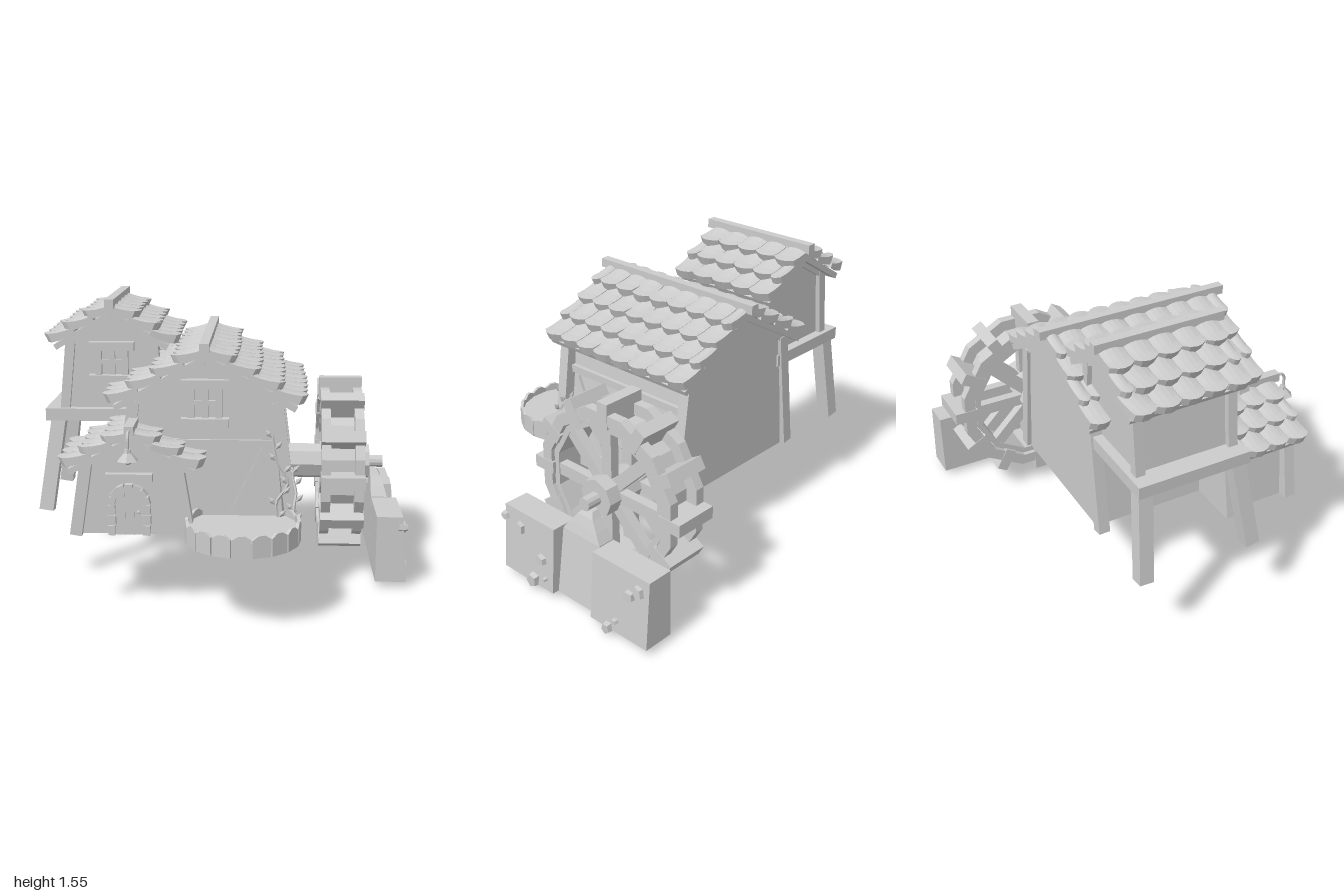
import * as THREE from 'three';

const mat = new THREE.MeshStandardMaterial({ color: 0xcccccc, flatShading: true });
const shellMat = new THREE.MeshStandardMaterial({ color: 0xcccccc, flatShading: true, side: THREE.DoubleSide });
const V = (x, y, z) => new THREE.Vector3(x, y, z);

function add(parent, name, geo, x = 0, y = 0, z = 0, material = mat) {
  const m = new THREE.Mesh(geo, material);
  m.name = name;
  m.position.set(x, y, z);
  parent.add(m);
  return m;
}
function box(parent, name, x0, x1, y0, y1, z0, z1) {
  return add(parent, name, new THREE.BoxGeometry(x1 - x0, y1 - y0, z1 - z0),
    (x0 + x1) / 2, (y0 + y1) / 2, (z0 + z1) / 2);
}
// Square timber between two points
function beam(parent, name, a, b, w, h = w) {
  const len = a.distanceTo(b), m = add(parent, name, new THREE.BoxGeometry(w, h, len));
  if (Math.abs(b.y - a.y) > 0.8 * len) m.up.set(0, 0, 1);
  m.position.copy(a).add(b).multiplyScalar(0.5);
  m.lookAt(b);
  return m;
}
function extrude(points, depth, holes = []) {
  const s = new THREE.Shape(points.map(p => new THREE.Vector2(p[0], p[1])));
  for (const h of holes) s.holes.push(new THREE.Path(h.map(p => new THREE.Vector2(p[0], p[1]))));
  return new THREE.ExtrudeGeometry(s, { depth, bevelEnabled: false });
}
function indexed(pos, idx) {
  const g = new THREE.BufferGeometry();
  g.setAttribute('position', new THREE.Float32BufferAttribute(pos, 3));
  g.setIndex(idx);
  g.computeVertexNormals();
  return g;
}

// Curved roof tile: rounded, thicker, upturned lower end, arched across its width
function tileGeometry(len, width) {
  const g = new THREE.BoxGeometry(len, 0.028, width, 3, 1, 4), p = g.attributes.position;
  for (let i = 0; i < p.count; i++) {
    const u = p.getX(i) / len + 0.5, w = p.getZ(i) / width * 2, y = p.getY(i);
    p.setX(i, p.getX(i) - u * w * w * 0.028);
    p.setY(i, y + 0.028 * u * u - 0.012 * w * w - (y < 0 ? 0.022 * u : 0));
  }
  return g;
}
// Gabled roof with staggered tiles, deck boards and ridge beam
function roof(parent, name, cx, ridgeY, run, drop, z0, z1, rows, cols, ridge) {
  const g = new THREE.Group();
  g.name = name;
  parent.add(g);
  const L = Math.hypot(run, drop), A = Math.atan2(drop, run), pitch = L / rows, depth = z1 - z0;
  const step = depth / cols, geo = tileGeometry(pitch + 0.04, step * 0.98);
  for (const s of [1, -1]) {
    const side = new THREE.Group();
    side.name = 'roofSlope';
    side.position.set(cx, ridgeY, (z0 + z1) / 2);
    if (s < 0) side.rotation.y = Math.PI;
    g.add(side);
    const deck = add(side, 'roofDeck', new THREE.BoxGeometry(L - 0.01, 0.03, depth - 0.02), run / 2 - 0.01, -drop / 2 - 0.012, 0);
    deck.rotation.z = -A;
    for (let r = 0; r < rows; r++) {
      const odd = (rows - 1 - r) % 2;
      for (let c = 0; c < cols + odd; c++) {
        const jitter = Math.sin(r * 12.9 + c * 7.3 + s * 3.1);
        const half = odd && (c === 0 || c === cols);
        const z = odd ? THREE.MathUtils.clamp(c * step, step / 4, depth - step / 4) : (c + 0.5) * step;
        const d = (r + 0.5) * pitch + jitter * 0.006, n = 0.03 + odd * 0.002;
        const t = add(side, 'roofTile', geo, d * Math.cos(A) + n * Math.sin(A),
          -d * Math.sin(A) + n * Math.cos(A), z - depth / 2);
        t.rotation.z = -A + 0.1 + jitter * 0.03;
        t.rotation.y = jitter > 0.9 ? 0.15 : 0;
        if (half) t.scale.z = 0.5;
      }
    }
  }
  box(g, 'ridgeBeam', cx - 0.024, cx + 0.024, ridge[0], ridge[0] + 0.047, ridge[1], ridge[2]);
}
// Gabled shell, wider at the foot and open underneath
function walls(parent, name, cx, halfTop, halfBottom, y0, yEave, yPeak, z0, z1) {
  const profile = [[-halfBottom, y0], [-halfTop, yEave], [0, yPeak], [halfTop, yEave], [halfBottom, y0]];
  const pos = [], idx = [];
  for (const z of [z0, z1]) for (const [x, y] of profile) pos.push(cx + x, y, z);
  for (let i = 0; i < 4; i++) {
    idx.push(i, i + 5, i + 1, i + 1, i + 5, i + 6);
    if (i) idx.push(0, i, i + 1, 5, i + 6, i + 5);
  }
  add(parent, name, indexed(pos, idx), 0, 0, 0, shellMat);
}
function windowFrame(parent, cx, cy, z, h) {
  const g = new THREE.Group();
  g.name = 'window';
  parent.add(g);
  box(g, 'lintel', cx - 0.12, cx + 0.12, cy + h, cy + h + 0.045, z, z + 0.045);
  box(g, 'sill', cx - 0.12, cx + 0.12, cy - h - 0.045, cy - h, z, z + 0.055);
  for (const x of [-0.07, 0, 0.07])
    box(g, 'upright', cx + x - 0.016, cx + x + 0.016, cy - h, cy + h, z, z + (x ? 0.03 : 0.02));
  box(g, 'crossbar', cx - 0.07, cx + 0.07, cy - 0.012, cy + 0.012, z, z + 0.018);
}

function buildHouse(root) {
  const g = new THREE.Group();
  g.name = 'mainHouse';
  root.add(g);
  const cx = -0.09;
  walls(g, 'mainWalls', cx, 0.34, 0.4, 0.41, 1.08, 1.28, -0.49, 0.38);
  roof(g, 'mainRoof', cx, 1.31, 0.47, 0.265, -0.55, 0.42, 4, 8, [1.325, -0.585, 0.46]);
  for (const s of [1, -1]) {
    for (const z of [0.37, -0.48]) {
      beam(g, 'cornerPost', V(cx + s * 0.445, 0.41, z), V(cx + s * 0.36, 1.07, z), 0.06);
      beam(g, 'gableRafter', V(cx, 1.26, z), V(cx + s * 0.37, 1.055, z), 0.05, 0.04);
    }
    // Front and side braces
    beam(g, 'frontBrace', V(cx + s * 0.14, 0.48, 0.38), V(cx + s * 0.31, 0.85, 0.38), 0.035, 0.03);
    beam(g, 'sideBrace', V(0.31, 0.42, 0.06 + s * 0.03), V(0.275, 0.83, 0.06 + s * 0.25), 0.03, 0.035);
    beam(g, 'sideRail', V(cx + s * 0.36, 0.87, 0.37), V(cx + s * 0.36, 0.87, -0.48), 0.04);
  }
  beam(g, 'frontRail', V(-0.46, 0.86, 0.38), V(0.28, 0.86, 0.38), 0.03, 0.03);
  windowFrame(g, cx, 1.065, 0.38, 0.075);
}

function buildTower(root) {
  const g = new THREE.Group();
  g.name = 'stiltRoom';
  root.add(g);
  const cx = -0.6;
  walls(g, 'stiltRoomWalls', cx, 0.215, 0.25, 0.95, 1.33, 1.45, -0.45, 0.05);
  roof(g, 'stiltRoomRoof', cx, 1.485, 0.31, 0.185, -0.525, 0.1, 3, 5, [1.5, -0.545, 0.135]);
  box(g, 'platform', -0.955, -0.42, 0.9, 0.965, -0.5, 0.1);
  for (const z of [0.05, -0.45]) {
    const out = z > 0 ? 0.07 : -0.03;
    beam(g, 'stilt', V(-0.962, 0.415, z + out), V(-0.89, 0.91, z), 0.075);
    for (const s of [1, -1]) {
      beam(g, 'roomPost', V(cx + s * 0.255, 0.96, z), V(cx + s * 0.215, 1.34, z), 0.05);
      beam(g, 'roomRafter', V(cx, 1.44, z), V(cx + s * 0.23, 1.305, z), 0.045, 0.035);
    }
  }
  windowFrame(g, cx, 1.21, 0.05, 0.065);
}

function buildPorch(root) {
  const g = new THREE.Group();
  g.name = 'porch';
  root.add(g);
  const cx = -0.45, z = 0.5;
  walls(g, 'porchWalls', cx, 0.22, 0.26, 0.41, 0.78, 0.89, 0.12, z);
  roof(g, 'porchRoof', cx, 0.925, 0.32, 0.17, 0.1, 0.57, 3, 4, [0.94, 0.1, 0.6]);
  for (const s of [1, -1]) {
    for (const pz of [0.51, 0.15])
      beam(g, 'porchPost', V(cx + s * 0.285, 0.41, pz), V(cx + s * 0.225, 0.79, pz), 0.06);
    beam(g, 'porchRafter', V(cx, 0.89, z), V(cx + s * 0.26, 0.75, z), 0.045, 0.035);
  }
  // Arched door with stone surround
  const dx = -0.465, spring = 0.57;
  const arch = [[-0.07, 0.41 - spring], [0.07, 0.41 - spring]];
  for (let i = 0; i <= 8; i++) arch.push([0.07 * Math.cos(i * Math.PI / 8), 0.07 * Math.sin(i * Math.PI / 8)]);
  add(g, 'door', extrude(arch, 0.015), dx, spring, z);
  for (const x of [-0.024, 0.024]) box(g, 'doorSeam', dx + x - 0.003, dx + x + 0.003, 0.41, 0.63, z, z + 0.02);
  add(g, 'doorKnob', new THREE.IcosahedronGeometry(0.011), dx + 0.048, 0.53, z + 0.025);
  for (let i = 0; i < 7; i++) {
    const a = (i + 0.5) * Math.PI / 7;
    const m = add(g, 'archStone', new THREE.BoxGeometry(0.036, 0.04, 0.045),
      dx + 0.088 * Math.cos(a), spring + 0.088 * Math.sin(a), z + 0.015);
    m.rotation.z = a;
  }
  for (const s of [1, -1]) for (let i = 0; i < 3; i++)
    add(g, 'jambStone', new THREE.BoxGeometry(0.036 + (i % 2) * 0.006, 0.05, 0.045), dx + s * 0.088, 0.437 + i * 0.053, z + 0.015);
  box(g, 'doorBoard', -0.58, -0.345, 0.69, 0.73, z, z + 0.04);
  // Hanging lamp
  const hook = new THREE.CatmullRomCurve3([V(cx, 0.955, 0.58), V(cx, 0.965, 0.625), V(cx, 0.945, 0.645), V(cx, 0.86, 0.645)]);
  add(g, 'lampHook', new THREE.TubeGeometry(hook, 10, 0.008, 6));
  add(g, 'lampCap', new THREE.CylinderGeometry(0.016, 0.02, 0.025, 6), cx, 0.875, 0.645);
  add(g, 'lampShade', new THREE.CylinderGeometry(0.018, 0.056, 0.04, 6), cx, 0.85, 0.645);
  add(g, 'lampBulb', new THREE.IcosahedronGeometry(0.022, 1), cx, 0.83, 0.645);
}

// Round flower bed ringed with pointed pickets
function buildBed(root) {
  const g = new THREE.Group();
  g.name = 'gardenBed';
  root.add(g);
  const cx = 0.105, cz = 0.565, rad = Math.PI / 180;
  const s = new THREE.Shape();
  s.absarc(cx, -cz, 0.275, -218 * rad, 38 * rad);
  const soil = add(g, 'soil', new THREE.ExtrudeGeometry(s, { depth: 0.07, bevelEnabled: false, curveSegments: 20 }), 0, 0.41, 0);
  soil.rotation.x = -Math.PI / 2;
  const picket = extrude([[-0.047, 0], [0.047, 0], [0.047, 0.09], [0.015, 0.11], [-0.015, 0.11], [-0.047, 0.09]], 0.016);
  for (let i = -6; i <= 6; i++) {
    const a = i * 20 * rad;
    add(g, 'picket', picket, cx + 0.27 * Math.sin(a), 0.41, cz + 0.27 * Math.cos(a)).rotation.y = a;
  }
}

// Climbing vines on the front corner
function buildVines(root) {
  const g = new THREE.Group();
  g.name = 'vines';
  root.add(g);
  const leaf = new THREE.OctahedronGeometry(0.024);
  const paths = [
    [V(0.3, 0.41, 0.41), V(0.27, 0.55, 0.41), V(0.33, 0.66, 0.41), V(0.27, 0.78, 0.41), V(0.25, 0.9, 0.41)],
    [V(0.37, 0.41, 0.4), V(0.36, 0.52, 0.41), V(0.37, 0.6, 0.38), V(0.35, 0.68, 0.35), V(0.35, 0.71, 0.31)]];
  for (const p of paths) {
    const c = new THREE.CatmullRomCurve3(p);
    add(g, 'vineStem', new THREE.TubeGeometry(c, 16, 0.008, 5));
    for (let i = 1; i < 9; i++) {
      const q = c.getPoint(i / 8), s = i % 2 ? 1 : -1;
      const m = add(g, 'vineLeaf', leaf, q.x + s * 0.022, q.y + 0.015, q.z + 0.005);
      m.scale.set(0.6, 1.2, 0.35);
      m.rotation.z = -s * 0.7;
    }
  }
}

function buildWheel(root) {
  const g = new THREE.Group();
  g.name = 'waterWheel';
  g.position.set(0.63, 0.575, -0.355);
  g.rotation.y = Math.PI / 2; // local z runs along the axle
  root.add(g);
  const ring = r => Array.from({ length: 12 }, (_, i) => {
    const a = (i + 0.5) * Math.PI / 6;
    return [r * Math.cos(a), r * Math.sin(a)];
  });
  for (const z of [-0.115, 0.065]) add(g, 'rim', extrude(ring(0.448), 0.05, [ring(0.385)]), 0, 0, z);
  add(g, 'drum', extrude(ring(0.378), 0.2, [ring(0.345)]), 0, 0, -0.1);
  for (let i = 0; i < 12; i++) {
    const a = i * Math.PI / 6;
    add(g, 'paddle', new THREE.BoxGeometry(0.13, 0.065, 0.236), 0.425 * Math.cos(a), 0.425 * Math.sin(a), 0).rotation.z = a;
  }
  for (let i = 0; i < 8; i++) for (const z of [-0.07, 0.07]) {
    const a = i * Math.PI / 4;
    add(g, 'spoke', new THREE.BoxGeometry(0.3, 0.065, 0.05), 0.2 * Math.cos(a), 0.2 * Math.sin(a), z).rotation.z = a;
  }
  add(g, 'axle', new THREE.CylinderGeometry(0.1, 0.1, 0.5, 8), 0, 0, -0.08).rotation.x = Math.PI / 2;
  add(g, 'axlePin', new THREE.CylinderGeometry(0.035, 0.035, 0.1, 12), 0, 0, 0.2).rotation.x = Math.PI / 2;
}

function buildDam(root) {
  const g = new THREE.Group();
  g.name = 'dam';
  root.add(g);
  for (const [z0, z1] of [[-0.21, 0.15], [-0.85, -0.48]])
    add(g, 'stoneBlock', extrude([[0.81, 0.035], [0.975, 0.035], [0.95, 0.4], [0.81, 0.4]], z1 - z0), 0, 0, z0);
  // Falling water: four-cornered cross-sections of x, y and half width
  const rows = [[0.85, 0.53, 0.03], [0.868, 0.5, 0.05], [0.885, 0.45, 0.09], [0.9, 0.4, 0.125], [0.945, 0.04, 0.13]];
  const pos = [], idx = [0, 1, 2, 0, 2, 3];
  for (const [x, y, w] of rows)
    pos.push(x, y, -0.35 + w, x, y, -0.35 - w, 0.81, y, -0.35 - w, 0.81, y, -0.35 + w);
  for (let i = 0; i < rows.length - 1; i++) for (let j = 0; j < 4; j++) {
    const a = i * 4 + j, b = i * 4 + (j + 1) % 4;
    idx.push(a, a + 4, b, b, a + 4, b + 4);
  }
  add(g, 'water', indexed(pos, idx), 0, 0, 0, shellMat);
  // Chipped stones set in the blocks
  const stones = [[0.03, 0.31, 0.045], [-0.13, 0.2, 0.04], [-0.07, 0.055, 0.055], [-0.16, 0.1, 0.015],
    [-0.73, 0.28, 0.045], [-0.79, 0.325, 0.045], [-0.65, 0.1, 0.022], [-0.6, 0.04, 0.042], [0.14, 0.34, 0.03]];
  stones.forEach(([z, y, r], i) => {
    const m = add(g, 'stone', new THREE.CylinderGeometry(r * 0.75, r, 0.05, 5), 0.972 - (y - 0.04) * 0.07, y, z);
    m.rotation.set(i * 1.3, 0, -Math.PI / 2 + 0.07);
    m.scale.z = 0.8;
  });
}

export function createModel() {
  const root = new THREE.Group();
  root.name = 'watermill';
  for (const build of [buildHouse, buildTower, buildPorch, buildBed, buildVines, buildWheel, buildDam]) build(root);
  return root;
}
